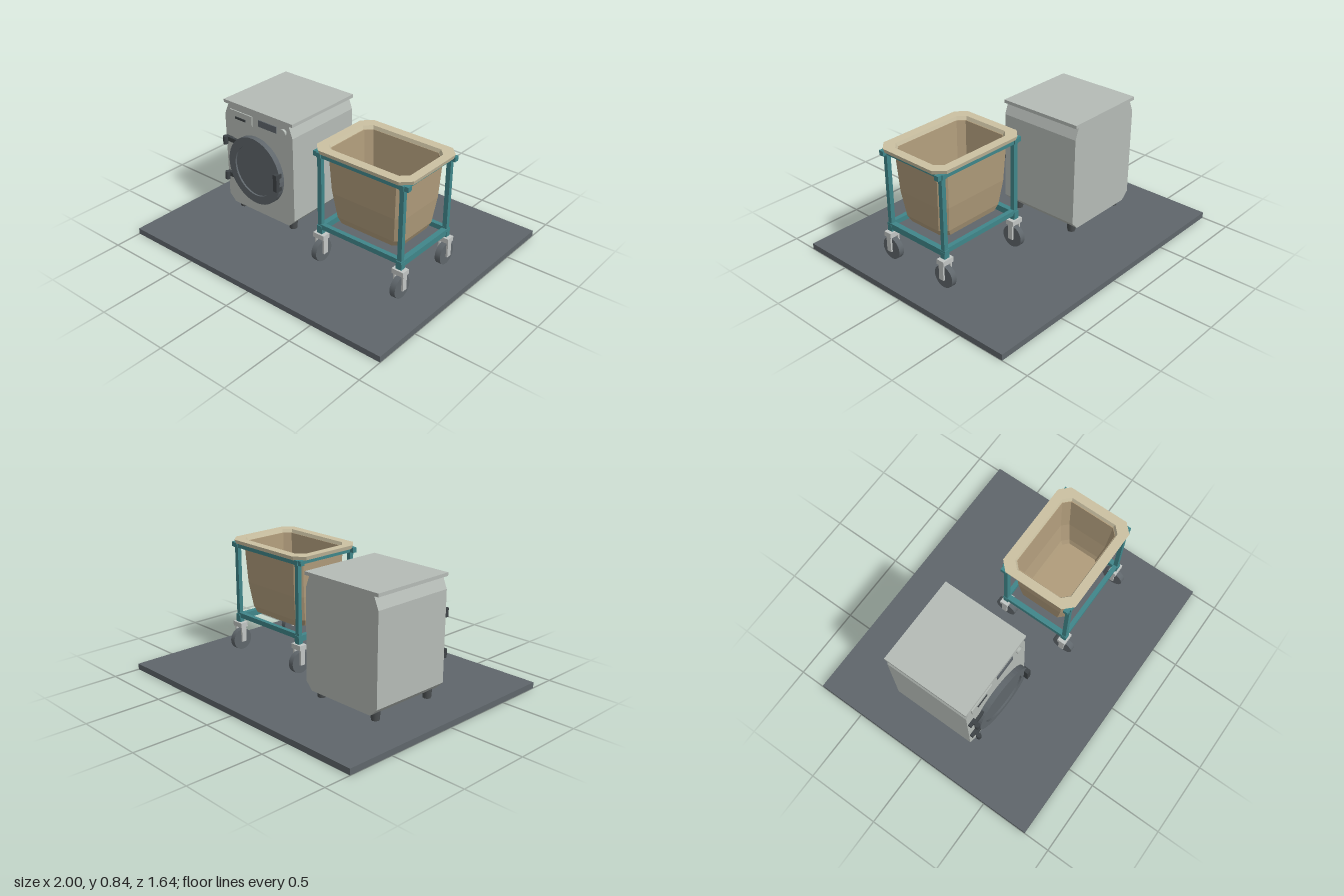
import * as THREE from 'three';

const flat = (name, color) => {
  const m = new THREE.MeshStandardMaterial({ color });
  m.name = name;
  return m;
};

export function createModel() {
  const root = new THREE.Group();
  root.name = 'laundryCorner';
  const casing = flat('casing grey', 0xb5bbb6);
  const slate = flat('slate grey', 0x5f666b);
  const charcoal = flat('charcoal', 0x3e4346);
  const rubber = flat('foot grey', 0x4b4f51);
  const teal = flat('teal paint', 0x40868a);
  const canvas = flat('canvas', 0xb09c7b);
  const cream = flat('cream rim', 0xcbc1a2);
  const steel = flat('pale steel', 0xc2c6c4);

  const add = (parent, name, geo, mat, x = 0, y = 0, z = 0) => {
    const m = new THREE.Mesh(geo, mat);
    m.name = name;
    m.position.set(x, y, z);
    parent.add(m);
    return m;
  };
  // Box given by its minimum and maximum corners
  const block = (parent, name, mat, x0, x1, y0, y1, z0, z1) =>
    add(parent, name, new THREE.BoxGeometry(x1 - x0, y1 - y0, z1 - z0), mat,
      (x0 + x1) / 2, (y0 + y1) / 2, (z0 + z1) / 2);
  const group = (parent, name, x = 0, y = 0, z = 0) => {
    const g = new THREE.Group();
    g.name = name;
    g.position.set(x, y, z);
    parent.add(g);
    return g;
  };
  const disc = (r, h, sides = 32) => new THREE.CylinderGeometry(r, r, h, sides).rotateX(Math.PI / 2);

  // Lofts flat faces through chamfered rectangles [y, halfX, halfZ, chamfer]
  const loft = (levels, caps) => {
    const rings = levels.map(([y, w, d, c]) => [
      [c - w, y, d], [w - c, y, d], [w, y, d - c], [w, y, c - d],
      [w - c, y, -d], [c - w, y, -d], [-w, y, c - d], [-w, y, d - c]]);
    const pos = [];
    const tri = (...p) => p.forEach((v) => pos.push(...v));
    for (let k = 0; k < rings.length - 1; k++) {
      const a = rings[k], b = rings[k + 1];
      for (let i = 0; i < 8; i++) {
        const j = (i + 1) % 8;
        tri(a[i], a[j], b[j]);
        tri(a[i], b[j], b[i]);
      }
    }
    if (caps) {
      const first = rings[0], last = rings[rings.length - 1];
      for (let i = 0; i < 8; i++) {
        const j = (i + 1) % 8;
        tri([0, levels[0][0], 0], first[j], first[i]);
        tri([0, levels[levels.length - 1][0], 0], last[i], last[j]);
      }
    }
    const g = new THREE.BufferGeometry();
    g.setAttribute('position', new THREE.Float32BufferAttribute(pos, 3));
    g.computeVertexNormals();
    return g;
  };

  // Floor slab
  block(root, 'floor', slate, -1, 1, 0, 0.04, -0.82, 0.82);

  // Washing machine: chamfered casing extruded front to back
  const washer = group(root, 'washer');
  const outline = new THREE.Shape([
    [-0.7, 0.09], [-0.21, 0.09], [-0.163, 0.14], [-0.163, 0.735],
    [-0.195, 0.82], [-0.715, 0.82], [-0.752, 0.735], [-0.752, 0.14],
  ].map(([x, y]) => new THREE.Vector2(x, y)));
  add(washer, 'casing', new THREE.ExtrudeGeometry(outline, { depth: 0.58, bevelEnabled: false }),
    casing, 0, 0, -0.362);
  block(washer, 'lid', casing, -0.755, -0.16, 0.815, 0.837, -0.368, 0.222);
  for (const x of [-0.684, -0.232]) {
    for (const z of [0.155, -0.3]) {
      add(washer, 'foot', new THREE.CylinderGeometry(0.03, 0.026, 0.06, 8), rubber, x, 0.069, z);
    }
  }

  // Control panel
  block(washer, 'detergentDrawer', casing, -0.702, -0.505, 0.715, 0.785, 0.216, 0.226);
  block(washer, 'drawerSlot', charcoal, -0.65, -0.56, 0.732, 0.747, 0.224, 0.231);
  block(washer, 'display', slate, -0.45, -0.295, 0.735, 0.78, 0.216, 0.225);
  add(washer, 'dial', disc(0.024, 0.018, 20), casing, -0.234, 0.76, 0.225);

  // Door standing very slightly ajar on its left hinges
  const door = group(washer, 'door', -0.69, 0.43, 0.226);
  door.rotation.y = -0.035;
  const ring = new THREE.Shape().absarc(0, 0, 0.233, 0, Math.PI * 2);
  ring.holes.push(new THREE.Path().absarc(0, 0, 0.175, 0, Math.PI * 2, true));
  add(door, 'doorRing', new THREE.ExtrudeGeometry(ring,
    { depth: 0.038, bevelEnabled: false, curveSegments: 24 }), slate, 0.235, 0, 0);
  add(door, 'doorGlass', disc(0.176, 0.02, 40), slate, 0.235, 0, 0.016);
  block(door, 'doorHandle', charcoal, 0.435, 0.466, -0.06, 0.06, 0.02, 0.066);
  for (const y of [0.572, 0.31]) {
    const hinge = group(washer, 'hinge', 0, y, 0);
    block(hinge, 'hingePlate', charcoal, -0.745, -0.69, -0.012, 0.012, 0.215, 0.24);
    block(hinge, 'hingeArm', charcoal, -0.72, -0.62, -0.012, 0.018, 0.232, 0.25);
    add(hinge, 'hingePin', new THREE.CylinderGeometry(0.017, 0.017, 0.055, 12), charcoal, -0.715, 0, 0.264);
  }

  // Laundry cart
  const cart = group(root, 'laundryCart', 0.453, 0, 0.088);
  add(cart, 'basket', loft([
    [0.316, 0.235, 0.165, 0.045], [0.36, 0.257, 0.18, 0.045], [0.53, 0.276, 0.205, 0.045],
    [0.8, 0.289, 0.22, 0.045], [0.8, 0.28, 0.195, 0.04], [0.53, 0.262, 0.178, 0.04],
    [0.37, 0.24, 0.15, 0.04], [0.335, 0.23, 0.137, 0.035],
  ], true), canvas);
  add(cart, 'rim', loft([
    [0.797, 0.345, 0.258, 0.06], [0.823, 0.352, 0.265, 0.06], [0.823, 0.295, 0.205, 0.045],
    [0.797, 0.285, 0.197, 0.045], [0.797, 0.345, 0.258, 0.06],
  ], false), cream);

  // Frame: rails on each side and posts at the corners
  const px = 0.301, pz = 0.23;
  for (const s of [-1, 1]) {
    const x = s * px, z = s * pz;
    block(cart, 'topRail', teal, -0.345, 0.345, 0.766, 0.798, z - 0.016, z + 0.016);
    block(cart, 'topSideRail', teal, x - 0.016, x + 0.016, 0.766, 0.798, -0.253, 0.253);
    block(cart, 'lowerRail', teal, -px, px, 0.272, 0.305, z - 0.015, z + 0.015);
    block(cart, 'lowerSideRail', teal, x - 0.018, x + 0.018, 0.255, 0.295, -0.25, 0.25);
    for (const t of [-1, 1]) {
      const corner = group(cart, 'corner', x, 0, t * pz);
      block(corner, 'post', teal, -0.015, 0.015, 0.235, 0.77, -0.014, 0.014);
      block(corner, 'postCollar', teal, -0.02, 0.02, 0.24, 0.282, -0.018, 0.018);
      // Swivel caster
      const caster = group(corner, 'caster');
      block(caster, 'casterPlate', steel, -0.042, 0.042, 0.204, 0.237, -0.028, 0.028);
      for (const e of [-1, 1]) {
        block(caster, 'casterFork', steel, e * 0.031 - 0.006, e * 0.031 + 0.006, 0.1, 0.206, -0.018, 0.018);
      }
      add(caster, 'wheel', new THREE.CylinderGeometry(0.073, 0.073, 0.038, 24).rotateZ(Math.PI / 2),
        slate, 0, 0.113, 0);
      add(caster, 'axle', new THREE.CylinderGeometry(0.012, 0.012, 0.07, 10).rotateZ(Math.PI / 2),
        charcoal, 0, 0.113, 0);
    }
  }
  return root;
}
